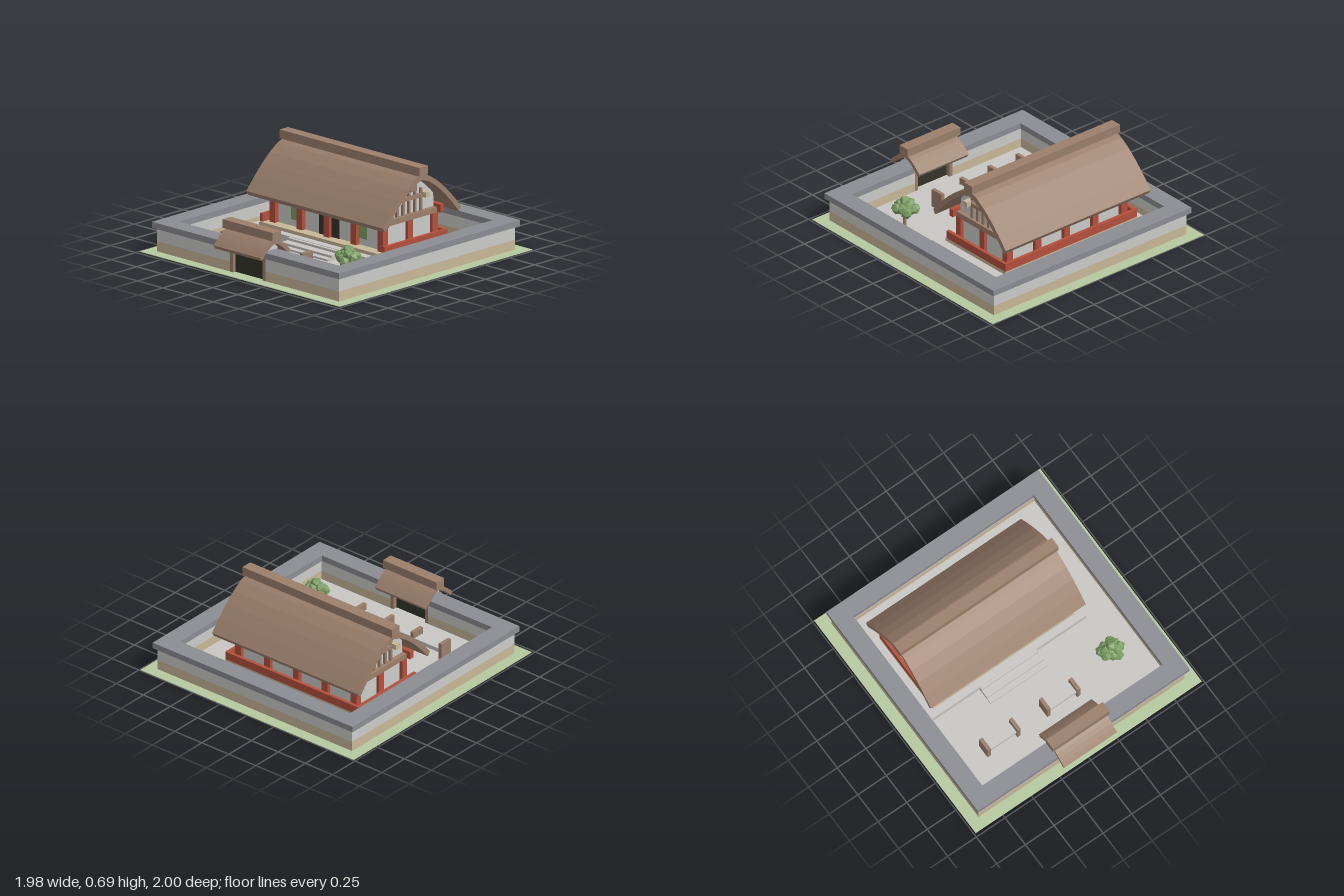
import * as THREE from 'three';

const mat = (name, color) => {
  const m = new THREE.MeshStandardMaterial({ color });
  m.name = name;
  return m;
};

export function createModel() {
  const M = {
    grass: mat('grass', 0xb5c8a0),
    slate: mat('slate', 0x8c8d93),
    plaster: mat('plaster', 0xcbcbca),
    tan: mat('tan', 0xc8b898),
    paving: mat('paving', 0xc8c6c2),
    wood: mat('brown wood', 0x9b7f6b),
    red: mat('red lacquer', 0xb5503c),
    dark: mat('dark door', 0x33332b),
    leaf: mat('leaf green', 0x7d9f66),
  };
  const root = new THREE.Group();
  const section = (name) => {
    const g = new THREE.Group();
    g.name = name;
    root.add(g);
    return g;
  };
  const add = (parent, name, geo, material) => {
    const mesh = new THREE.Mesh(geo, material);
    mesh.name = name;
    parent.add(mesh);
    return mesh;
  };
  // Box given by its extents on each axis
  const box = (parent, name, material, [x0, x1], [y0, y1], [z0, z1]) => {
    const mesh = add(parent, name, new THREE.BoxGeometry(x1 - x0, y1 - y0, z1 - z0), material);
    mesh.position.set((x0 + x1) / 2, (y0 + y1) / 2, (z0 + z1) / 2);
    return mesh;
  };

  // Curved roof line: height over the distance from the ridge
  const arc = (half, eave, peak, n = 5) => {
    const pts = [];
    for (let i = -n; i <= n; i++) {
      const t = i / n;
      pts.push(new THREE.Vector2(t * half, eave + (peak - eave) * (1 - Math.abs(t) ** 1.5)));
    }
    return pts;
  };
  // Extrudes a (z, y) outline along x
  const alongX = (pts, x0, x1, zc) => {
    const geo = new THREE.ExtrudeGeometry(new THREE.Shape(pts), { depth: x1 - x0, bevelEnabled: false });
    return geo.rotateY(Math.PI / 2).translate(x0, 0, zc);
  };
  const roof = (parent, x0, x1, zc, half, eave, peak, thick) => {
    const top = arc(half, eave, peak);
    const under = arc(half - thick * 0.5, eave - thick * 0.8, peak - thick).reverse();
    add(parent, 'roof', alongX([...top, ...under], x0, x1, zc), M.wood);
  };
  const gable = (parent, x0, x1, zc, half, base, eave, peak, roofHalf) => {
    const line = arc(roofHalf, eave, peak, 12).filter((p) => Math.abs(p.x) <= half);
    const pts = [new THREE.Vector2(-half, base), ...line, new THREE.Vector2(half, base)];
    add(parent, 'gableWall', alongX(pts, x0, x1, zc), M.plaster);
  };

  // Ground and courtyard
  const zc = -0.0125;
  const yard = section('courtyard');
  box(yard, 'grass', M.grass, [-0.9875, 0.9875], [0.002, 0.006], [-1, 0.975]);
  box(yard, 'paving', M.paving, [-0.86, 0.86], [0, 0.012], [zc - 0.86, zc + 0.86]);

  // Boundary wall, open at the gate
  const wall = section('boundaryWall');
  const layers = [
    ['wallBase', M.tan, 0.004, 0.08, 0.9, 0.812],
    ['wallTop', M.plaster, 0.08, 0.18, 0.9, 0.812],
    ['wallCap', M.slate, 0.18, 0.225, 0.925, 0.787],
  ];
  for (const [name, m, y0, y1, o, i] of layers) {
    const y = [y0, y1];
    box(wall, name, m, [-o, -i], y, [zc - o, zc + o]);
    box(wall, name, m, [i, o], y, [zc - o, zc + o]);
    box(wall, name, m, [-i, i], y, [zc - o, zc - i]);
    box(wall, name, m, [-i, -0.175], y, [zc + i, zc + o]);
    box(wall, name, m, [0.175, i], y, [zc + i, zc + o]);
  }

  // Gatehouse
  const gate = section('gate');
  for (const s of [-1, 1]) {
    const x = s < 0 ? [-0.175, -0.147] : [0.147, 0.175];
    box(gate, 'gatePost', M.wood, x, [0.004, 0.22], [0.8, 0.889]);
    box(gate, 'gateBracket', M.wood, x, [0.178, 0.2], [0.74, 0.955]);
  }
  box(gate, 'gateDoor', M.dark, [-0.147, 0.147], [0.002, 0.17], [0.835, 0.865]);
  gable(gate, -0.165, 0.165, 0.845, 0.09, 0.205, 0.19, 0.29, 0.15);
  roof(gate, -0.232, 0.228, 0.845, 0.155, 0.212, 0.318, 0.032);
  box(gate, 'ridge', M.wood, [-0.25, 0.245], [0.315, 0.378], [0.802, 0.888]);

  // Platform and steps
  const base = section('platform');
  box(base, 'plinth', M.paving, [-0.77, 0.6], [0.005, 0.065], [-0.68, 0.11]);
  [[0.245, 0.027], [0.2, 0.045], [0.135, 0.062]].forEach(([z, y]) =>
    box(base, 'step', M.paving, [-0.335, 0.163], [0.005, y], [0.1, z]));
  box(base, 'deck', M.tan, [-0.7, 0.53], [0.065, 0.09], [-0.605, 0.05]);

  // Hall walls, door and windows
  const hall = section('hall');
  const cx = -0.085, cz = -0.2825;
  box(hall, 'hallWall', M.plaster, [-0.62, 0.45], [0.09, 0.32], [-0.53, -0.035]);
  box(hall, 'hallDoor', M.dark, [cx - 0.1, cx + 0.1], [0.09, 0.265], [-0.036, -0.029]);
  for (const s of [-1, 1]) {
    const wx = cx + s * 0.33;
    box(hall, 'window', M.leaf, [wx - 0.046, wx + 0.046], [0.14, 0.266], [-0.036, -0.029]);
  }
  gable(hall, -0.62, 0.45, cz, 0.264, 0.3, 0.285, 0.597, 0.385);

  // Red posts, top beams and low rails
  for (let i = 0; i < 5; i++) {
    const x = cx + (i - 2) * 0.267;
    const rows = i === 0 || i === 4 ? [-0.025, cz, -0.535] : [-0.025, -0.535];
    for (const z of rows) {
      box(hall, 'post', M.red, [x - 0.027, x + 0.027], [0.09, 0.29], [z - 0.026, z + 0.026]);
    }
  }
  for (const z of [0, -0.56]) {
    box(hall, 'topBeam', M.red, [-0.69, 0.52], [0.28, 0.34], [z - 0.018, z + 0.018]);
  }
  box(hall, 'rail', M.red, [-0.7, 0.53], [0.09, 0.15], [-0.605, -0.58]);
  box(hall, 'rail', M.red, [-0.7, -0.675], [0.09, 0.15], [-0.58, 0.04]);
  box(hall, 'rail', M.red, [0.505, 0.53], [0.09, 0.15], [-0.58, 0.04]);

  // Timber framing on both gables
  for (const s of [-1, 1]) {
    const out = (a, b) => {
      const p = cx + s * (0.535 + a), q = cx + s * (0.535 + b);
      return [Math.min(p, q), Math.max(p, q)];
    };
    box(hall, 'tieBeam', M.wood, out(-0.01, 0.035), [0.275, 0.316], [cz - 0.262, cz + 0.267]);
    box(hall, 'collarBeam', M.wood, out(-0.01, 0.025), [0.418, 0.445], [cz - 0.155, cz + 0.16]);
    for (let k = -2; k <= 2; k++) {
      const z = cz + k * 0.061, top = [0.595, 0.525, 0.484][Math.abs(k)];
      box(hall, 'stud', M.wood, out(-0.01, 0.018), [0.31, top], [z - 0.01, z + 0.01]);
    }
    box(hall, 'kingBlock', M.wood, out(-0.01, 0.06), [0.49, 0.59], [cz - 0.03, cz + 0.03]);
    box(hall, 'ridgePurlin', M.tan, out(-0.01, 0.04), [0.53, 0.58], [cz - 0.045, cz + 0.045]);
    for (const t of [-1, 1]) {
      const z = cz + t * 0.142;
      box(hall, 'purlinEnd', M.tan, out(-0.01, 0.06), [0.418, 0.457], [z - 0.022, z + 0.022]);
    }
  }

  // Hall roof
  roof(hall, -0.763, 0.59, cz, 0.3975, 0.316, 0.635, 0.042);
  box(hall, 'ridge', M.wood, [-0.778, 0.605], [0.628, 0.693], [cz - 0.043, cz + 0.043]);

  // Benches
  const benches = section('benches');
  for (const x of [-0.4425, 0.08]) {
    for (const s of [-1, 1]) {
      const ex = x + s * 0.13;
      box(benches, 'benchEnd', M.wood, [ex - 0.014, ex + 0.014], [0.002, 0.15], [0.455, 0.56]);
    }
    box(benches, 'benchSeat', M.paving, [x - 0.117, x + 0.117], [0.07, 0.1], [0.465, 0.55]);
  }

  // Small tree: a ring of leaf clumps round a central crown
  const tree = section('tree');
  const trunk = add(tree, 'trunk', new THREE.CylinderGeometry(0.01, 0.015, 0.15, 6), M.wood);
  trunk.position.set(0.57, 0.08, 0.45);
  for (let i = 0; i < 13; i++) {
    const a = i * 2.4, r = 0.075 * Math.sqrt(i / 12);
    const clump = add(tree, 'leaves', new THREE.IcosahedronGeometry(0.044, 0).toNonIndexed(), M.leaf);
    clump.position.set(0.57 + r * Math.cos(a), 0.225 - r * 0.85 + 0.012 * Math.sin(i * 5), 0.45 + r * 0.85 * Math.sin(a));
    clump.rotation.set(i, i * 1.7, i * 0.6);
  }
  return root;
}
